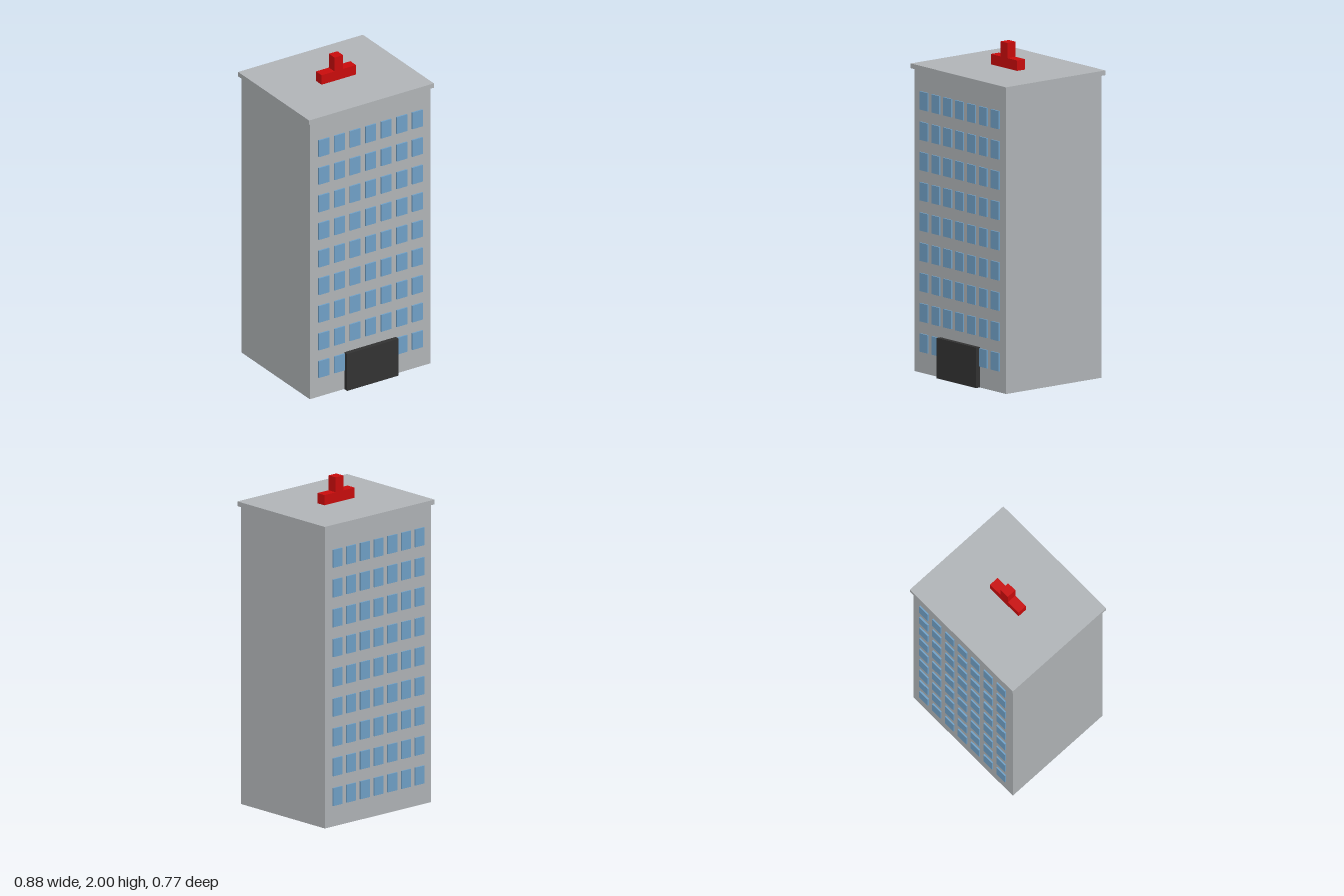
import * as THREE from 'three';

const UNIT = 2 / 66; // the block is laid out on a grid 66 units high

function material(name, color) {
  const m = new THREE.MeshStandardMaterial({ color });
  m.name = name;
  return m;
}

export function createModel() {
  const model = new THREE.Group();
  model.name = 'hospitalBuilding';

  const concrete = material('concrete grey', 0xb3b7ba);
  const glass = material('window blue', 0x72a3ca);
  const red = material('cross red', 0xcc0c0c);
  const dark = material('door charcoal', 0x333333);

  const building = new THREE.Group();
  building.name = 'building';
  building.scale.setScalar(UNIT);
  building.position.z = -0.25 * UNIT;
  model.add(building);

  // Box given by size, base height and centre
  function box(name, mat, w, h, d, x, base, z, parent = building) {
    const mesh = new THREE.Mesh(new THREE.BoxGeometry(w, h, d), mat);
    mesh.name = name;
    mesh.position.set(x, base + h / 2, z);
    parent.add(mesh);
    return mesh;
  }

  // Tower and overhanging roof slab
  box('tower', concrete, 28, 60, 24, 0, 0, 0);
  box('roofSlab', concrete, 29, 0.95, 25, 0, 60, 0);

  // Entrance block
  box('entrance', dark, 12, 8, 1, 0, 0, 12.5);

  // Nine floors of seven windows on the front and back
  const pane = new THREE.BoxGeometry(2.4, 3.6, 0.3);
  for (const side of [1, -1]) {
    const windows = new THREE.Group();
    windows.name = side > 0 ? 'frontWindows' : 'backWindows';
    building.add(windows);
    for (let floor = 1; floor <= 9; floor++) {
      for (let column = -3; column <= 3; column++) {
        const mesh = new THREE.Mesh(pane, glass);
        mesh.name = 'window';
        mesh.position.set(column * 3.62, floor * 6, side * 12.15);
        windows.add(mesh);
      }
    }
  }

  // Rooftop sign: a low bar with a post rising from its middle
  const sign = new THREE.Group();
  sign.name = 'roofSign';
  building.add(sign);
  box('signBar', red, 8, 2.05, 2, 0, 60.95, 0, sign);
  box('signPost', red, 2, 3, 2, 0, 63, 0, sign);

  return model;
}
